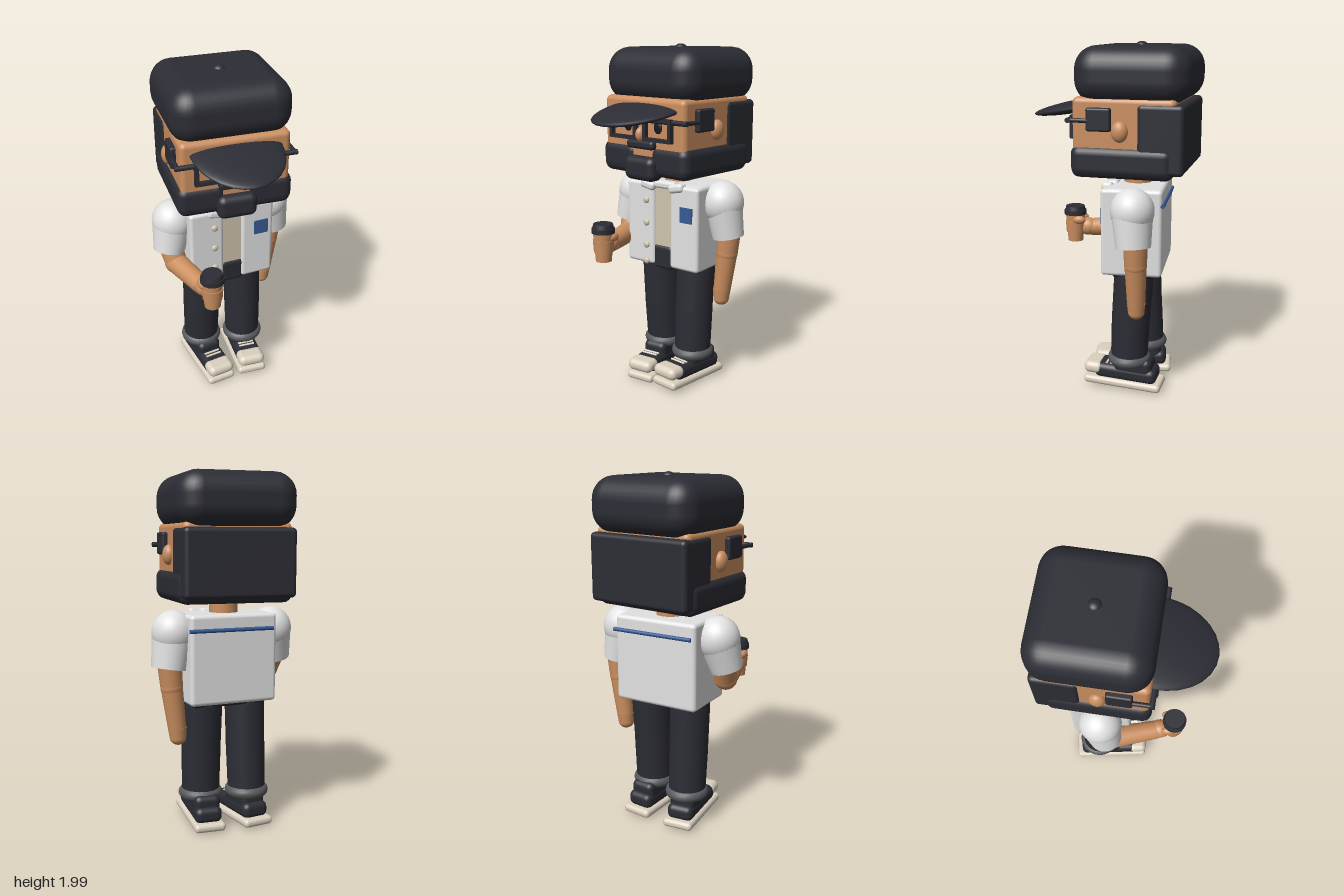
import * as THREE from 'three';
import { RoundedBoxGeometry } from 'three/addons/geometries/RoundedBoxGeometry.js';

const material = (name, color) => {
  const m = new THREE.MeshStandardMaterial({ color });
  m.name = name;
  return m;
};

export function createModel() {
  const dark = material('charcoal', 0x2c2d35);
  const black = material('eye black', 0x1b1b20);
  const skin = material('skin', 0xcb8f60);
  const white = material('jacket white', 0xe2e2e2);
  const cream = material('sole cream', 0xdbd1c0);
  const beige = material('shirt beige', 0xcfc4ae);
  const blue = material('blue', 0x365a94);
  const grey = material('cuff grey', 0x57595c);

  // Helpers
  const group = (parent, name, x = 0, y = 0, z = 0) => {
    const g = new THREE.Group();
    g.name = name;
    g.position.set(x, y, z);
    parent.add(g);
    return g;
  };
  const add = (parent, name, geo, mat, x = 0, y = 0, z = 0) => {
    const m = new THREE.Mesh(geo, mat);
    m.name = name;
    m.position.set(x, y, z);
    parent.add(m);
    return m;
  };
  // Rounded box given by its limits on each axis
  const block = (parent, name, mat, [x0, x1], [y0, y1], [z0, z1], r = 0.02) =>
    add(parent, name, new RoundedBoxGeometry(x1 - x0, y1 - y0, z1 - z0, 4, r), mat,
      (x0 + x1) / 2, (y0 + y1) / 2, (z0 + z1) / 2);
  const ball = (parent, name, mat, [x, y, z], [rx, ry, rz]) => {
    const m = add(parent, name, new THREE.SphereGeometry(1, 28, 18), mat, x, y, z);
    m.scale.set(rx, ry, rz);
    return m;
  };
  // Tapered cylinder from point a to point b
  const limb = (parent, name, mat, a, b, ra, rb) => {
    const p = new THREE.Vector3(...a), q = new THREE.Vector3(...b);
    const d = q.clone().sub(p);
    const m = add(parent, name, new THREE.CylinderGeometry(rb, ra, d.length(), 28), mat);
    m.position.copy(p).add(q).multiplyScalar(0.5);
    m.quaternion.setFromUnitVectors(new THREE.Vector3(0, 1, 0), d.normalize());
    return m;
  };

  const model = new THREE.Group();
  model.name = 'figure';

  // Head, turned slightly to its right
  const head = group(model, 'head', 0, 0, -0.145);
  head.rotation.y = -0.085;
  block(head, 'face', skin, [-0.3, 0.3], [1.33, 1.72], [-0.25, 0.31], 0.03);
  block(head, 'backHair', dark, [-0.31, 0.31], [1.32, 1.69], [-0.295, -0.045], 0.025);
  block(head, 'beardBase', dark, [-0.315, 0.315], [1.29, 1.395], [-0.24, 0.32], 0.045);
  block(head, 'goatee', dark, [-0.11, 0.11], [1.265, 1.4], [0.25, 0.362], 0.04);
  block(head, 'moustache', dark, [-0.1, 0.1], [1.44, 1.49], [0.29, 0.345], 0.02);
  ball(head, 'nose', skin, [0, 1.52, 0.325], [0.028, 0.042, 0.035]);

  // Cap with button and brim
  block(head, 'cap', dark, [-0.332, 0.332], [1.68, 1.983], [-0.315, 0.315], 0.125);
  ball(head, 'capButton', dark, [0, 1.975, 0], [0.035, 0.025, 0.035]);
  ball(head, 'capBrim', dark, [0, 1.653, 0.305], [0.25, 0.036, 0.318]).rotation.x = 0.19;

  // Rectangular lens rim
  const rim = new THREE.Shape();
  const hole = new THREE.Path();
  [[rim, 0.103, 0.064], [hole, 0.081, 0.044]].forEach(([s, w, h]) => {
    s.moveTo(-w, -h).lineTo(w, -h).lineTo(w, h).lineTo(-w, h).closePath();
  });
  rim.holes.push(hole);
  const rimGeo = new THREE.ExtrudeGeometry(rim, { depth: 0.025, bevelEnabled: false });

  for (const s of [-1, 1]) {
    const cheek = block(head, 'beardCheek', dark, [0.055, 0.32], [1.295, 1.465], [-0.24, 0.322], 0.05);
    cheek.position.x *= s;
    ball(head, 'ear', skin, [s * 0.305, 1.545, 0.045], [0.035, 0.056, 0.045]);
    ball(head, 'eye', black, [s * 0.113, 1.565, 0.309], [0.03, 0.036, 0.012]);
    block(head, 'sideburn', dark, [s * 0.31 - 0.02, s * 0.31 + 0.02], [1.545, 1.668], [0.09, 0.225], 0.012);
    add(head, 'glassesRim', rimGeo, dark, s * 0.128, 1.552, 0.318);
    limb(head, 'glassesTemple', dark, [s * 0.318, 1.6, 0.318], [s * 0.318, 1.6, 0.1], 0.012, 0.012);
  }
  limb(head, 'glassesBar', dark, [-0.332, 1.6, 0.322], [0.332, 1.6, 0.322], 0.014, 0.014);

  // Neck and torso
  limb(model, 'neck', skin, [0, 1.18, -0.13], [0, 1.36, -0.13], 0.08, 0.08);
  const torso = group(model, 'torso');
  block(torso, 'jacketBody', white, [-0.25, 0.257], [0.735, 1.228], [-0.3, 0.015], 0.022);
  block(torso, 'jacketFrontRight', white, [-0.25, -0.05], [0.735, 1.225], [-0.08, 0.04], 0.02);
  block(torso, 'jacketFrontLeft', white, [0.062, 0.257], [0.735, 1.225], [-0.08, 0.04], 0.02);
  block(torso, 'shirt', beige, [-0.06, 0.07], [0.8, 1.21], [-0.02, 0.025], 0.005);
  block(torso, 'trouserFront', dark, [-0.065, 0.075], [0.715, 0.862], [-0.06, 0.034], 0.025);
  block(torso, 'collarBand', white, [-0.08, 0.09], [1.195, 1.24], [-0.03, 0.035], 0.018);
  for (const s of [-1, 1]) {
    const flap = block(torso, 'collarFlap', white, [-0.05, 0.05], [1.185, 1.235], [-0.01, 0.055], 0.02);
    flap.position.x = 0.005 + s * 0.1;
    flap.rotation.z = s * 0.2;
  }
  for (const y of [1.12, 0.985, 0.85, 0.752]) ball(torso, 'button', beige, [-0.105, y, 0.042], [0.02, 0.02, 0.012]);
  add(torso, 'chestPatch', new THREE.BoxGeometry(0.084, 0.088, 0.009), blue, 0.18, 1.066, 0.043);
  limb(torso, 'backStripe', blue, [-0.225, 1.145, -0.303], [0.265, 1.145, -0.303], 0.011, 0.011);

  // Left arm, hanging
  const leftArm = group(model, 'leftArm');
  ball(leftArm, 'shoulder', white, [0.302, 1.125, -0.145], [0.12, 0.125, 0.12]);
  limb(leftArm, 'sleeve', white, [0.305, 1.12, -0.145], [0.335, 0.93, -0.157], 0.117, 0.098).scale.x = 0.92;
  limb(leftArm, 'upperArm', skin, [0.335, 0.97, -0.168], [0.322, 0.83, -0.168], 0.068, 0.062);
  ball(leftArm, 'elbow', skin, [0.322, 0.83, -0.168], [0.063, 0.063, 0.063]);
  limb(leftArm, 'forearm', skin, [0.322, 0.83, -0.168], [0.292, 0.59, -0.168], 0.061, 0.05);
  limb(leftArm, 'hand', skin, [0.292, 0.6, -0.168], [0.288, 0.545, -0.168], 0.052, 0.046);
  ball(leftArm, 'fingertips', skin, [0.288, 0.545, -0.168], [0.046, 0.042, 0.046]);

  // Right arm, bent forward to hold a cup
  const rightArm = group(model, 'rightArm');
  ball(rightArm, 'shoulder', white, [-0.298, 1.125, -0.125], [0.12, 0.125, 0.12]);
  limb(rightArm, 'sleeve', white, [-0.3, 1.12, -0.125], [-0.338, 0.95, -0.095], 0.117, 0.09);
  limb(rightArm, 'upperArm', skin, [-0.33, 0.98, -0.1], [-0.312, 0.885, -0.06], 0.068, 0.064);
  ball(rightArm, 'elbow', skin, [-0.312, 0.88, -0.055], [0.066, 0.066, 0.066]);
  limb(rightArm, 'forearm', skin, [-0.312, 0.88, -0.055], [-0.245, 0.87, 0.2], 0.064, 0.053);
  ball(rightArm, 'hand', skin, [-0.24, 0.875, 0.215], [0.053, 0.055, 0.06]);
  for (const s of [-1, 1]) ball(rightArm, 'finger', skin, [-0.22 + s * 0.048, 0.93, 0.26], [0.023, 0.026, 0.04]);

  // Cup
  const cup = group(model, 'cup', -0.218, 0, 0.292);
  limb(cup, 'cupBody', skin, [0, 0.79, 0], [0, 0.965, 0], 0.046, 0.06);
  limb(cup, 'cupSleeve', skin, [0, 0.845, 0], [0, 0.915, 0], 0.056, 0.061);
  limb(cup, 'lidRim', dark, [0, 0.957, 0], [0, 0.985, 0], 0.067, 0.067);
  limb(cup, 'lidTop', dark, [0, 0.98, 0], [0, 1.01, 0], 0.063, 0.056);

  // Legs and shoes
  block(model, 'hips', dark, [-0.22, 0.225], [0.71, 0.8], [-0.25, -0.01], 0.03);
  for (const s of [-1, 1]) {
    const leg = group(model, s > 0 ? 'leftLeg' : 'rightLeg');
    const kneeZ = s > 0 ? -0.115 : -0.15;
    const ankleZ = s > 0 ? -0.105 : -0.17;
    const x = s * 0.13;
    limb(leg, 'thigh', dark, [x, 0.77, -0.135], [x, 0.46, kneeZ], 0.115, 0.111);
    limb(leg, 'shin', dark, [x, 0.47, kneeZ], [x, 0.19, ankleZ], 0.112, 0.107);
    const cuff = add(leg, 'cuff', new THREE.TorusGeometry(0.092, 0.033, 14, 32), grey, x, 0.196, ankleZ);
    cuff.rotation.x = Math.PI / 2;

    const shoe = group(leg, 'shoe', s * 0.122, s > 0 ? 0.012 : 0, s > 0 ? -0.075 : -0.095);
    shoe.rotation.set(s > 0 ? -0.035 : 0.02, -s * 0.1, 0);
    block(shoe, 'sole', cream, [-0.09, 0.09], [0.012, 0.06], [-0.23, 0.23], 0.022);
    block(shoe, 'shoeUpper', dark, [-0.078, 0.078], [0.05, 0.14], [-0.2, 0.17], 0.035);
    block(shoe, 'shoeAnkle', dark, [-0.075, 0.075], [0.08, 0.2], [-0.17, 0.06], 0.035);
    block(shoe, 'toeCap', cream, [-0.083, 0.083], [0.07, 0.142], [0.12, 0.235], 0.034);
    for (const z of [0.075, 0.1]) limb(shoe, 'lace', cream, [-0.05, 0.141, z], [0.05, 0.141, z], 0.007, 0.007);
  }
  return model;
}
